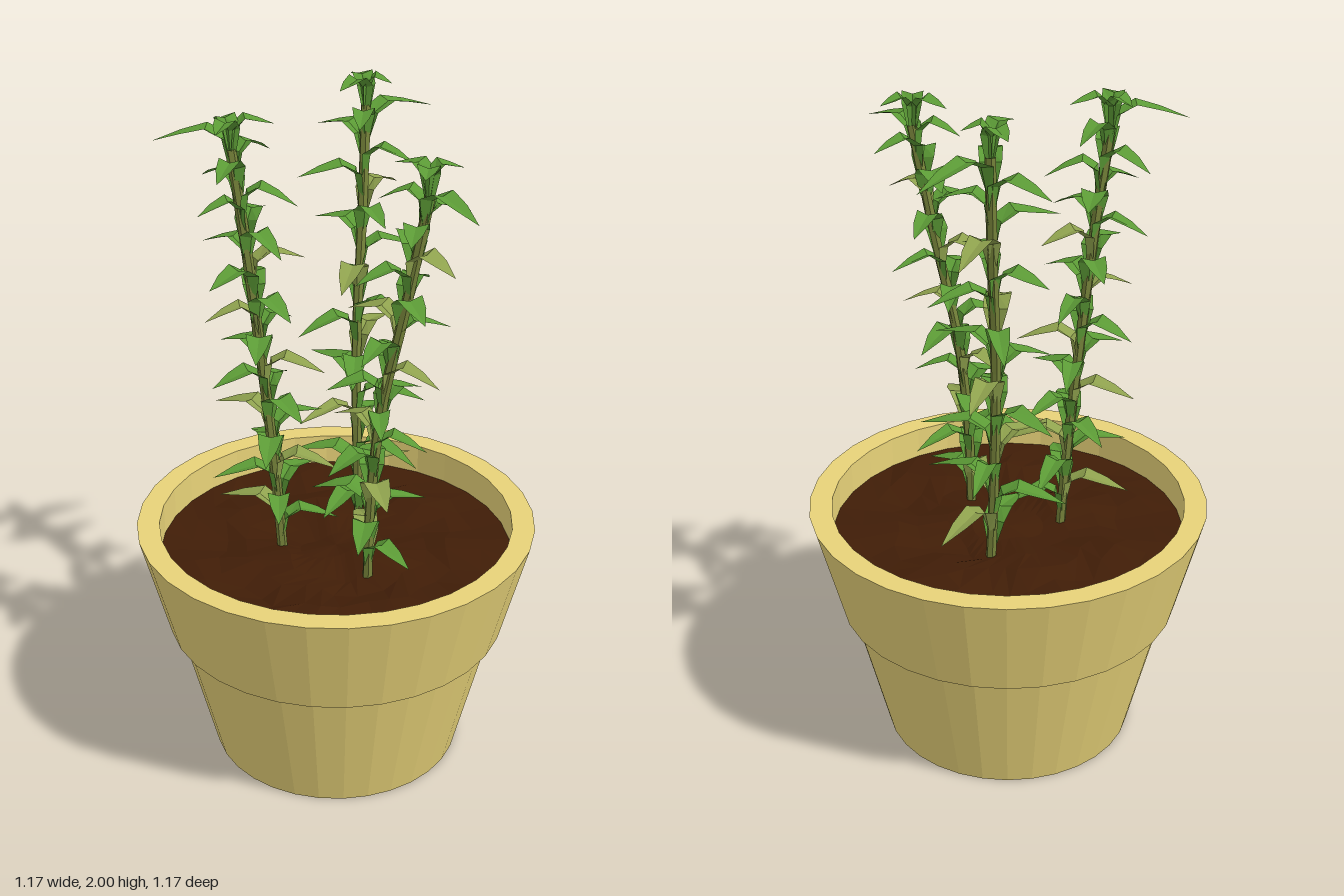
import * as THREE from 'three';

const make = (name, color, side = THREE.FrontSide) => {
  const m = new THREE.MeshStandardMaterial({ color, flatShading: true, side });
  m.name = name;
  return m;
};

// Small seeded random generator
function seeded(seed) {
  let s = seed;
  return () => (s = (s * 16807) % 2147483647) / 2147483647;
}

// Cross-sections of a leaf: distance out, height, half width, cupping of the edges
const LEAF = [
  [0.012, 0, 0.014, 0.01],
  [0.024, 0.065, 0.031, 0.015],
  [0.06, 0.092, 0.034, 0.01],
  [0.115, 0.084, 0.024, 0.006],
  [0.18, 0.076, 0, 0],
];

// A clasping leaf that rises beside the stem, then arches out along +x
function leafGeometry(length, width, droop) {
  const pos = [], index = [];
  LEAF.forEach(([out, up, w, cup], i) => {
    const a = LEAF[Math.max(i - 1, 0)], b = LEAF[Math.min(i + 1, LEAF.length - 1)];
    const dx = b[0] - a[0], dy = b[1] - a[1], l = Math.hypot(dx, dy);
    const x = out * length, y = up - droop * out * out;
    for (const k of [-1, 0, 1]) {
      const c = Math.abs(k) * cup;
      pos.push(x - (dy / l) * c, y + (dx / l) * c, k * w * width);
    }
    if (i < LEAF.length - 1) {
      for (const q of [i * 3, i * 3 + 1]) index.push(q, q + 1, q + 3, q + 1, q + 4, q + 3);
    }
  });
  const g = new THREE.BufferGeometry();
  g.setAttribute('position', new THREE.Float32BufferAttribute(pos, 3));
  g.setIndex(index);
  g.computeVertexNormals();
  return g;
}

export function createModel() {
  const clay = make('sand clay', 0xe8d379);
  const earth = make('dark soil', 0x401d07);
  const bark = make('stem olive', 0x76833a);
  const green = make('leaf green', 0x5c9b36, THREE.DoubleSide);
  const olive = make('leaf olive', 0x8fa24e, THREE.DoubleSide);

  const model = new THREE.Group();
  model.name = 'pottedPlant';
  const add = (parent, name, geometry, material) => {
    const mesh = new THREE.Mesh(geometry, material);
    mesh.name = name;
    parent.add(mesh);
    return mesh;
  };

  // Pot with a flared collar and open rim
  const profile = [
    [0, 0], [0.375, 0], [0.475, 0.41], [0.505, 0.43],
    [0.587, 0.75], [0.521, 0.75], [0.521, 0.62],
  ].map(([r, y]) => new THREE.Vector2(r, y));
  add(model, 'pot', new THREE.LatheGeometry(profile, 32), clay);

  // Uneven soil
  const soil = new THREE.RingGeometry(0, 0.521, 32, 6).rotateX(-Math.PI / 2);
  const p = soil.attributes.position;
  for (let i = 0; i < p.count; i++) {
    const x = p.getX(i), z = p.getZ(i);
    const edge = Math.min(1, (0.521 - Math.hypot(x, z)) * 8);
    p.setXYZ(i,
      x + edge * 0.02 * Math.sin(31 * z + 17 * x),
      0.655 + edge * 0.01 * (Math.sin(23 * x + 5 * z) + Math.sin(19 * z - 11 * x)),
      z + edge * 0.02 * Math.sin(29 * x - 13 * z));
  }
  add(model, 'soil', soil, earth);

  // Three leaning plants: stem path, leaf count, leaf length, height and heading of the longest top leaf
  const plants = [
    { name: 'leftPlant', seed: 71, count: 31, size: 0.95, topAt: 0.97, top: -2.4,
      path: [[-0.13, 0.63, -0.09], [-0.145, 0.9, -0.1], [-0.17, 1.25, -0.12], [-0.2, 1.6, -0.14], [-0.225, 1.88, -0.165]] },
    { name: 'rightPlant', seed: 523, count: 23, size: 1.15, topAt: 0.93, top: 0.0,
      path: [[0.15, 0.63, -0.08], [0.155, 0.9, -0.1], [0.175, 1.25, -0.13], [0.22, 1.6, -0.165], [0.25, 1.91, -0.19]] },
    { name: 'frontPlant', seed: 907, count: 27, size: 0.92, topAt: 0.94, top: 1.6,
      path: [[-0.03, 0.63, 0.19], [-0.03, 0.9, 0.2], [-0.01, 1.2, 0.22], [0.02, 1.5, 0.275], [0.05, 1.83, 0.33]] },
  ];

  for (const { name, seed, count, size, topAt, top, path } of plants) {
    const rand = seeded(seed);
    const plant = new THREE.Group();
    plant.name = name;
    model.add(plant);

    const curve = new THREE.CatmullRomCurve3(path.map((q) => new THREE.Vector3(...q)));
    add(plant, 'stem', new THREE.TubeGeometry(curve, 12, 0.015, 6), bark);

    // Leaves spiral up the stem, shorter towards the tip; the last one is long
    for (let i = 0; i < count; i++) {
      const last = i === count - 1;
      const t = last ? topAt : 0.05 + 0.92 * (i / (count - 1));
      const length = last ? 1.2 * Math.max(size, 1) : size * (1.12 - 0.35 * t + 0.2 * (rand() - 0.5));
      const pale = i % 4 === 1 && t < 0.8;
      const geometry = leafGeometry(length, 0.85 + 0.3 * rand(), 0.3 + 0.8 * rand());
      const leaf = add(plant, 'leaf', geometry, pale ? olive : green);
      leaf.position.copy(curve.getPointAt(t));
      leaf.rotation.y = -(top + (count - 1 - i) * 2.4 + (last ? 0 : (rand() - 0.5) * 0.6));
    }

    // Upright young leaves closing the tip
    for (let k = 0; k < 3; k++) {
      const tip = add(plant, 'tipLeaf', leafGeometry(0.65 - 0.12 * k, 0.9, 0), green);
      tip.position.copy(curve.getPointAt(0.99));
      tip.rotation.y = -(top + 2.9 + k * 2.1);
    }
  }
  return model;
}
